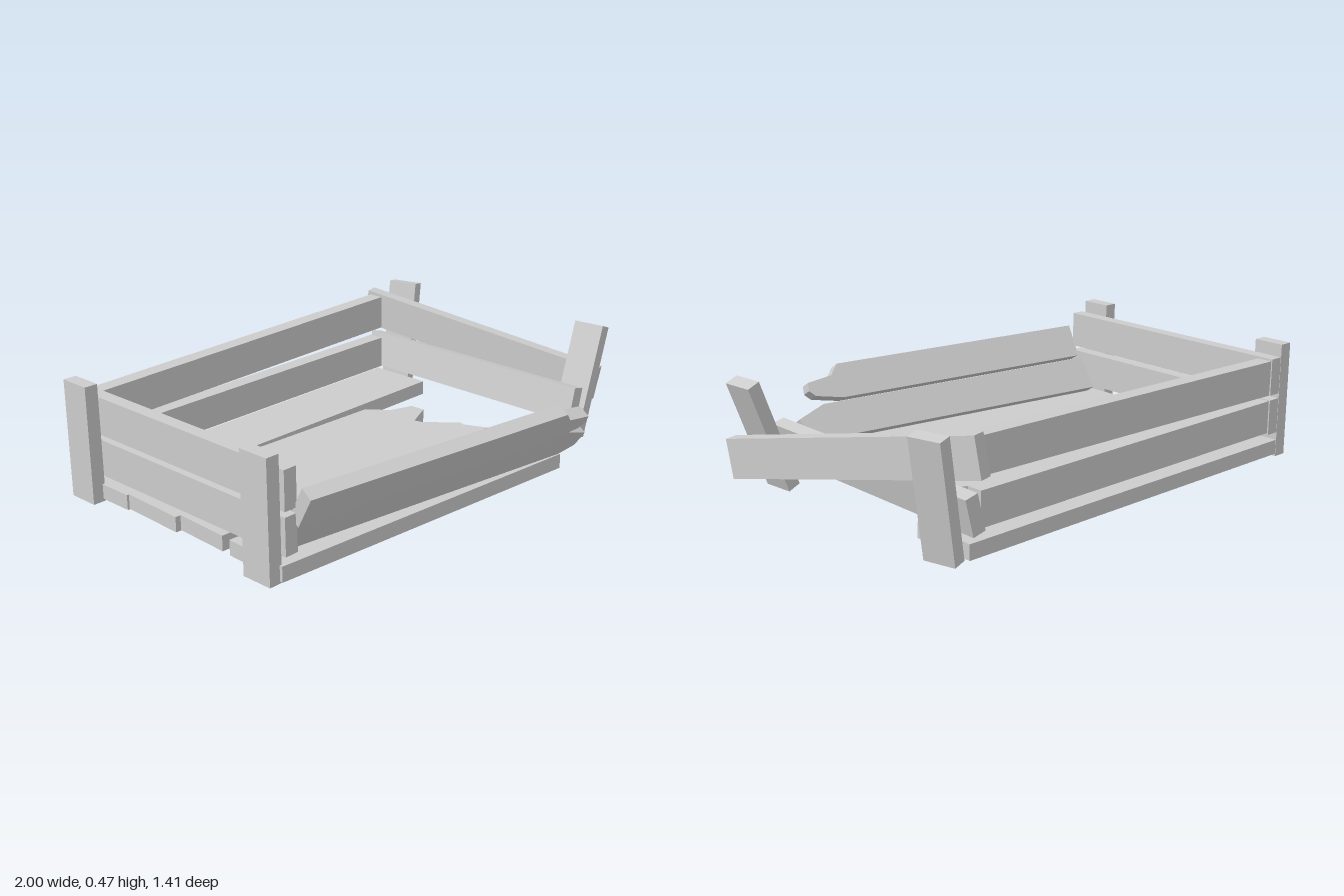
import * as THREE from 'three';

const material = new THREE.MeshStandardMaterial({ color: 0xcccccc, flatShading: true });
const T = 0.055; // board thickness

export function createModel() {
  const crate = new THREE.Group();
  crate.name = 'brokenCrate';

  function board(name, size, position, rotation = [0, 0, 0]) {
    const mesh = new THREE.Mesh(new THREE.BoxGeometry(...size), material);
    mesh.name = name;
    mesh.position.set(...position);
    mesh.rotation.set(...rotation, 'YXZ');
    crate.add(mesh);
    return mesh;
  }

  // Board with a splintered outline, extruded to its thickness
  function splintered(name, outline, depth) {
    const shape = new THREE.Shape(outline.map(([x, y]) => new THREE.Vector2(x, y)));
    const geometry = new THREE.ExtrudeGeometry(shape, { depth, bevelEnabled: false });
    const mesh = new THREE.Mesh(geometry, material);
    mesh.name = name;
    crate.add(mesh);
    return mesh;
  }

  // Intact left end: two posts and two rails
  for (const [name, z] of [['leftBackPost', -0.607], ['leftFrontPost', 0.357]])
    board(name, [T, 0.47, 0.13], [-0.973, 0.235, z]);
  board('leftUpperRail', [T, 0.15, 1.115], [-0.918, 0.343, -0.113]);
  board('leftLowerRail', [T, 0.145, 1.115], [-0.918, 0.175, -0.113]);

  // Back rails, the upper one slightly skewed
  board('backUpperRail', [1.55, 0.142, 0.065], [-0.115, 0.352, -0.633], [0, 0, 0.017]);
  board('backLowerRail', [1.55, 0.135, 0.065], [-0.115, 0.177, -0.633]);

  // Collapsed right end: leaning posts, tilted lower rail, fallen upper rail
  board('rightBackPost', [T, 0.465, 0.13], [0.808, 0.235, -0.612], [0, 0.26, -0.17]);
  board('rightFrontPost', [T, 0.47, 0.13], [0.84, 0.235, 0.36], [0, 0.1, -0.37]);
  board('rightLowerRail', [T, 0.145, 1.13], [0.705, 0.175, -0.125], [0, 0, -0.24]);
  board('rightUpperRail', [T, 0.153, 1.11], [0.825, 0.277, -0.17], [0.183, 0.27, 0]);

  // Floor planks: one whole, three snapped; outlines in x and z
  board('floorPlank', [1.67, 0.06, 0.275], [-0.12, 0.04, -0.533]);
  const floor = [
    [0.015, [[-0.95, -0.39], [0.275, -0.34], [0.34, -0.255], [0.44, -0.22], [0.44, -0.155],
      [0.32, -0.1], [0.33, -0.06], [-0.96, -0.11]]],
    [0.022, [[-0.945, -0.1], [0.32, -0.05], [0.36, 0], [0.42, 0.065], [0.41, 0.09],
      [0.45, 0.185], [-0.955, 0.135]]],
    [0.008, [[-0.94, 0.155], [-0.065, 0.21], [-0.04, 0.26], [0.44, 0.48], [0.42, 0.51],
      [0.455, 0.55], [-0.955, 0.435]]],
  ];
  for (const [y, outline] of floor) {
    const plank = splintered('brokenFloorPlank', outline.map(([x, z]) => [x, -z]), 0.06);
    plank.rotation.x = -Math.PI / 2;
    plank.position.y = y;
  }

  // Snapped front rails, swung out and leaning outward; outlines by length and height
  const front = [
    ['frontUpperRail', 0.275, 0.47, 0.53, [[0, 0], [1.21, 0], [1.33, 0.025], [1.355, 0.05],
      [1.35, 0.085], [1.24, 0.1], [1.2, 0.145], [0, 0.145]]],
    ['frontLowerRail', 0.145, 0.37, 0.56, [[0, 0], [1.36, 0], [1.435, 0.03], [1.45, 0.1],
      [1.33, 0.145], [0, 0.145]]],
  ];
  for (const [name, y, z, lean, outline] of front) {
    const rail = splintered(name, outline, T);
    rail.geometry.translate(0, -0.0725, -T / 2);
    rail.position.set(-0.9, y, z);
    rail.rotation.set(lean, -0.14, 0, 'YXZ');
  }
  return crate;
}
